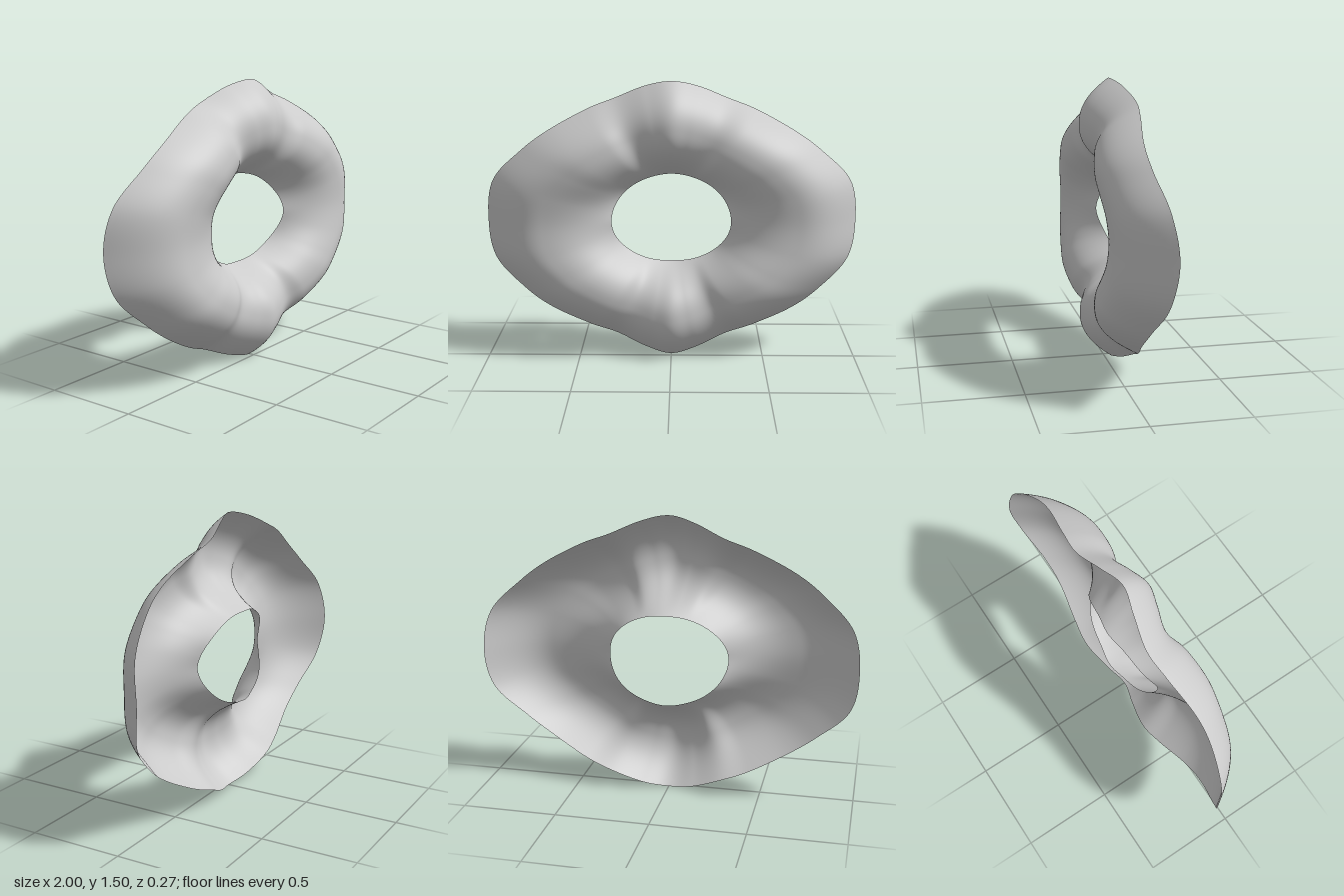
import * as THREE from 'three';

// One quarter of the ring, from the side (+x) to the top (+y):
// outer edge x, y, z, then crest z and inner edge z.
const QUARTER = [
  [1.00, 0.000, -0.130, 0.105, -0.030],
  [0.96, 0.215, -0.100, 0.115, -0.045],
  [0.80, 0.380, -0.058, 0.130, -0.070],
  [0.65, 0.490, -0.052, 0.135, -0.087],
  [0.45, 0.597, -0.085, 0.112, -0.100],
  [0.30, 0.655, -0.100, 0.073, -0.108],
  [0.14, 0.722, -0.065, 0.103, -0.120],
  [0.00, 0.750, -0.030, 0.127, -0.125],
];
const HOLE_X = 0.32, HOLE_Y = 0.243, CENTRE_Y = 0.75;
const AROUND = 280, ACROSS = 40;

// Mirror the quarter into closed curves around the whole ring
function ringCurves() {
  const edge = [], heights = [];
  for (let i = 0; i < 28; i++) {
    const m = i % 14;
    const [x, y, z, crest, inner] = QUARTER[m <= 7 ? m : 14 - m];
    const sx = i <= 7 || i >= 21 ? 1 : -1;
    const sy = i <= 14 ? 1 : -1;
    edge.push(new THREE.Vector3(sx * x, sy * y, z));
    heights.push(new THREE.Vector3(crest, inner, 0));
  }
  const close = (points) => new THREE.CatmullRomCurve3(points, true, 'catmullrom', 0.5);
  return [close(edge), close(heights)];
}

// Arched radial section: steep inner wall, rounded crest, falling outer flank
function archHeight(s, inner, crest, outer) {
  const top = 0.53;
  return s < top
    ? crest - (crest - inner) * Math.pow(1 - s / top, 2.4)
    : crest - (crest - outer) * Math.pow((s - top) / (1 - top), 2.2);
}

function wavyRingGeometry() {
  const [edge, heights] = ringCurves();
  const positions = [], indices = [];
  const row = ACROSS + 1;
  for (let i = 0; i < AROUND; i++) {
    const o = edge.getPoint(i / AROUND);
    const h = heights.getPoint(i / AROUND);
    // inner point on the oval hole along the same direction
    const k = 1 / Math.hypot(o.x / HOLE_X, o.y / HOLE_Y);
    for (let j = 0; j <= ACROSS; j++) {
      const s = j / ACROSS;
      const f = THREE.MathUtils.lerp(k, 1, s);
      positions.push(o.x * f, o.y * f + CENTRE_Y, archHeight(s, h.y, h.x, o.z));
      if (j < ACROSS) {
        const a = i * row + j;
        const b = ((i + 1) % AROUND) * row + j;
        indices.push(a, a + 1, b + 1, a, b + 1, b);
      }
    }
  }
  const geometry = new THREE.BufferGeometry();
  geometry.setAttribute('position', new THREE.Float32BufferAttribute(positions, 3));
  geometry.setIndex(indices);
  geometry.computeVertexNormals();
  return geometry;
}

export function createModel() {
  const group = new THREE.Group();
  const material = new THREE.MeshStandardMaterial({ color: 0xcccccc, side: THREE.DoubleSide });
  const ring = new THREE.Mesh(wavyRingGeometry(), material);
  ring.name = 'wavyRing';
  group.add(ring);
  return group;
}
